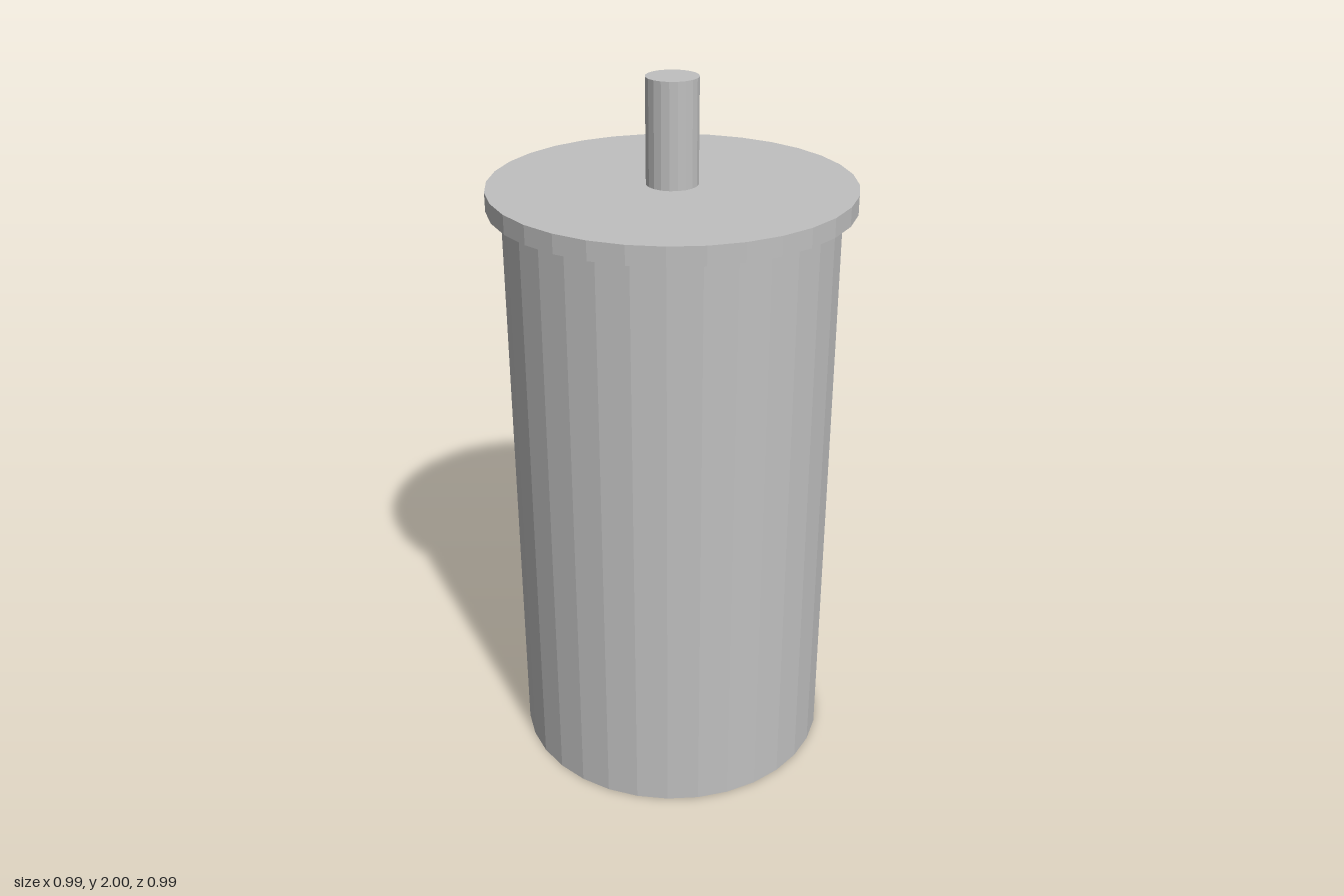
import * as THREE from 'three';

export function createModel() {
  const model = new THREE.Group();
  model.name = 'motor';
  const metal = new THREE.MeshStandardMaterial({ color: 0xc0c0c0, flatShading: true });
  metal.name = 'grey metal';

  // Upright faceted cylinder between two heights
  const addCylinder = (name, radius, bottom, top, sides) => {
    const mesh = new THREE.Mesh(
      new THREE.CylinderGeometry(radius, radius, top - bottom, sides),
      metal
    );
    mesh.name = name;
    mesh.position.y = (bottom + top) / 2;
    model.add(mesh);
  };

  addCylinder('body', 0.457, 0, 1.664, 32);
  addCylinder('flange', 0.497, 1.664, 1.716, 32);
  addCylinder('shaft', 0.071, 1.716, 2, 20);

  return model;
}
